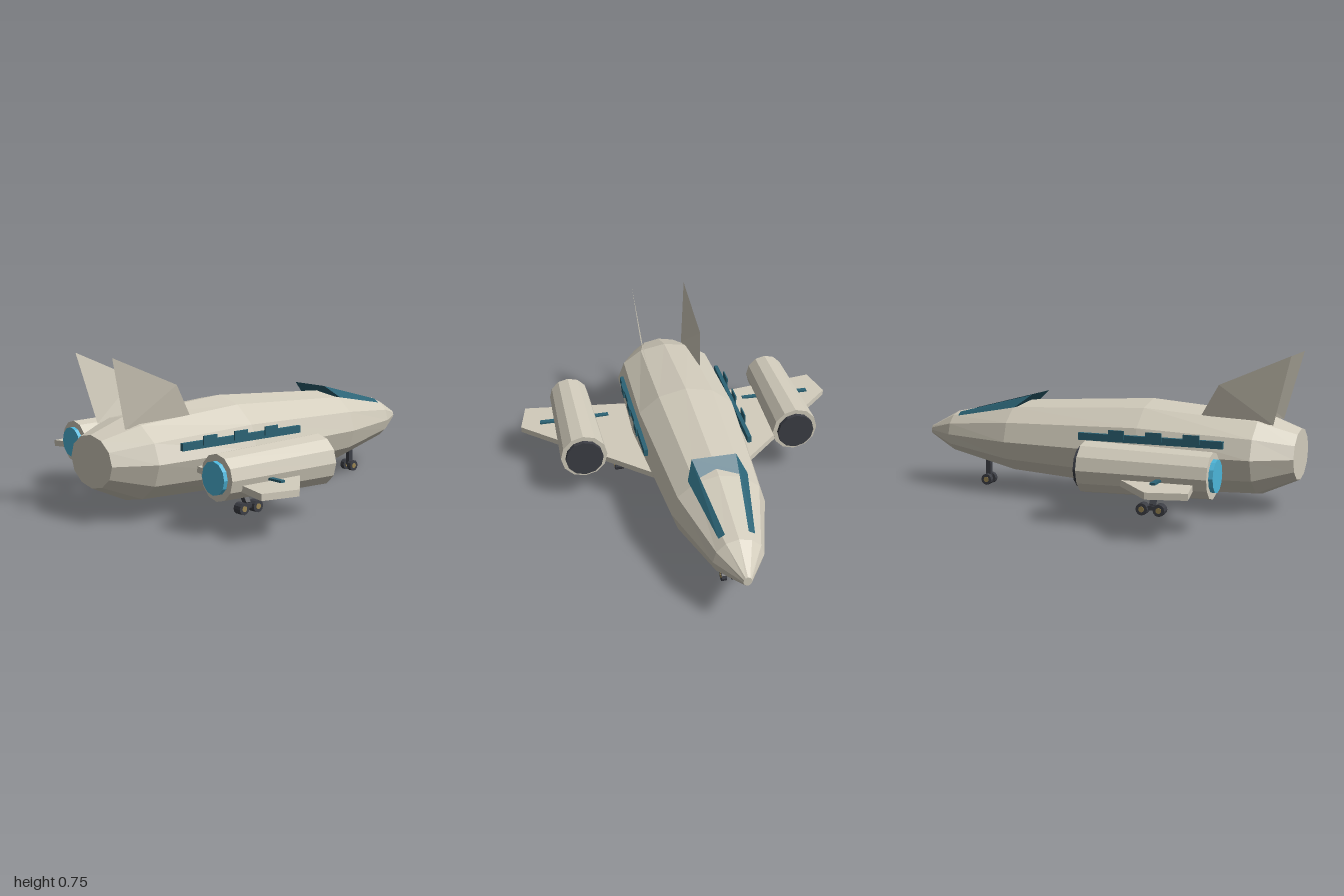
import * as THREE from 'three';

const paint = (color, side = THREE.FrontSide) =>
  new THREE.MeshStandardMaterial({ color, flatShading: true, side });
const HULL = paint(0xd2ccbc);
const SKIN = paint(0xd2ccbc, THREE.DoubleSide);
const GLASS = paint(0x2b6375, THREE.DoubleSide);
const DARK = paint(0x3c3e45);
const GLOW = paint(0x4db6da);
const BRASS = paint(0x9a8654);

// Mesh from a list of polygons, each fanned into triangles
function faces(name, polygons, material) {
  const points = [];
  for (const p of polygons)
    for (let i = 1; i < p.length - 1; i++) points.push(...p[0], ...p[i], ...p[i + 1]);
  const geometry = new THREE.BufferGeometry();
  geometry.setAttribute('position', new THREE.Float32BufferAttribute(points, 3));
  geometry.computeVertexNormals();
  return part(name, geometry, material);
}

function part(name, geometry, material, x = 0, y = 0, z = 0) {
  const mesh = new THREE.Mesh(geometry, material);
  mesh.name = name;
  mesh.position.set(x, y, z);
  return mesh;
}

const box = (name, w, h, d, material, x, y, z) =>
  part(name, new THREE.BoxGeometry(w, h, d), material, x, y, z);

// Cylinder along z from z0 (radius r0) to z1 (radius r1)
function barrel(name, r0, r1, z0, z1, material, x, y) {
  const geometry = new THREE.CylinderGeometry(r1, r0, z1 - z0, 12).rotateX(Math.PI / 2);
  return part(name, geometry, material, x, y, (z0 + z1) / 2);
}

// Square bar between two points
function strut(name, a, b, size) {
  const from = new THREE.Vector3(...a), to = new THREE.Vector3(...b);
  const mesh = box(name, size, from.distanceTo(to), size, DARK, 0, 0, 0);
  mesh.position.copy(from).lerp(to, 0.5);
  mesh.quaternion.setFromUnitVectors(new THREE.Vector3(0, 1, 0), to.sub(from).normalize());
  return mesh;
}

function wheel(x, z, width) {
  const group = new THREE.Group();
  group.name = 'wheel';
  const disc = (r, w) => new THREE.CylinderGeometry(r, r, w, 12).rotateZ(Math.PI / 2);
  group.add(part('tyre', disc(0.029, width), DARK), part('hub', disc(0.014, width + 0.004), BRASS));
  group.position.set(x, 0.029, z);
  return group;
}

function fuselage() {
  // z, half width, bottom, top
  const stations = [
    [-1, 0.02, 0.25, 0.297], [-0.84, 0.12, 0.17, 0.383], [-0.46, 0.23, 0.09, 0.462],
    [0.26, 0.285, 0.045, 0.505], [0.82, 0.27, 0.068, 0.46], [1, 0.165, 0.15, 0.395],
  ];
  const n = 12, middle = 0.273;
  const rings = stations.map(([z, w, low, high]) => Array.from({ length: n }, (_, j) => {
    const a = (j / n) * Math.PI * 2, s = Math.sin(a);
    return [w * Math.cos(a), middle + s * (s > 0 ? high - middle : middle - low), z];
  }));
  const polygons = [[...rings[0]].reverse(), rings[rings.length - 1]];
  for (let i = 0; i < rings.length - 1; i++)
    for (let j = 0; j < n; j++) {
      const k = (j + 1) % n;
      polygons.push([rings[i][j], rings[i][k], rings[i + 1][k], rings[i + 1][j]]);
    }
  return faces('fuselage', polygons, HULL);
}

// Windscreen: two side panes and a raked rear pane, open on top
function canopy() {
  const at = (s) => ({
    peak: [s * 0.108, 0.503, -0.36], low: [s * 0.145, 0.44, -0.44],
    frontLow: [s * 0.085, 0.37, -0.8], frontTop: [s * 0.055, 0.388, -0.8],
  });
  const l = at(1), r = at(-1);
  return faces('canopy', [
    [l.peak, l.low, l.frontLow, l.frontTop],
    [r.peak, r.frontTop, r.frontLow, r.low],
    [l.peak, r.peak, r.low, l.low],
  ], GLASS);
}

function wing(s) {
  const outline = [[0.2, -0.11], [0.85, 0.52], [0.81, 0.7], [0.2, 0.59]];
  const shape = new THREE.Shape(outline.map(([x, z]) => new THREE.Vector2(s * x, z)));
  const geometry = new THREE.ExtrudeGeometry(shape, { depth: 0.03, bevelEnabled: false });
  geometry.rotateX(Math.PI / 2);
  // slight droop towards the tip
  const p = geometry.attributes.position;
  for (let i = 0; i < p.count; i++) p.setY(i, p.getY(i) + 0.247 - 0.032 * Math.abs(p.getX(i)));
  geometry.computeVertexNormals();
  return part('wing', geometry, HULL);
}

function tailFin(s) {
  const a = [s * 0.142, 0.455, 0.55], b = [s * 0.165, 0.605, 0.64];
  const c = [s * 0.147, 0.75, 0.975], d = [s * 0.11, 0.42, 0.89];
  return faces('tailFin', [[b, c, d], [b, d, a]], SKIN);
}

function engine(s) {
  const group = new THREE.Group(), x = s * 0.562, y = 0.253;
  group.name = 'engine';
  group.add(
    barrel('nacelle', 0.12, 0.105, 0.13, 0.735, HULL, x, y),
    barrel('intake', 0.097, 0.097, 0.108, 0.14, DARK, x, y),
    barrel('exhaust', 0.075, 0.075, 0.72, 0.755, GLOW, x, y),
    box('wingStripe', 0.37, 0.01, 0.025, GLASS, x, 0.236, 0.52),
  );
  return group;
}

function sideWindows(s) {
  const group = new THREE.Group();
  group.name = 'sideWindows';
  group.add(box('windowBand', 0.02, 0.035, 0.725, GLASS, s * 0.268, 0.338, 0.332));
  for (const z of [0.17, 0.36, 0.545])
    group.add(box('windowPane', 0.006, 0.044, 0.08, GLASS, s * 0.286, 0.357, z));
  return group;
}

function mainGear(s) {
  const group = new THREE.Group();
  group.name = 'mainGear';
  group.add(strut('leg', [s * 0.255, 0.195, 0.38], [s * 0.35, 0.045, 0.38], 0.026));
  group.add(box('bogie', 0.02, 0.02, 0.1, DARK, s * 0.355, 0.035, 0.378));
  for (const z of [0.335, 0.42]) group.add(wheel(s * 0.357, z, 0.045));
  return group;
}

function noseGear() {
  const group = new THREE.Group();
  group.name = 'noseGear';
  group.add(strut('leg', [0, 0.16, -0.665], [0, 0.03, -0.665], 0.025));
  for (const s of [-1, 1]) group.add(wheel(s * 0.025, -0.665, 0.024));
  return group;
}

export function createModel() {
  const model = new THREE.Group();
  model.name = 'shuttle';
  model.add(fuselage(), canopy(), noseGear());
  for (const s of [-1, 1])
    model.add(wing(s), tailFin(s), engine(s), sideWindows(s), mainGear(s));
  return model;
}
